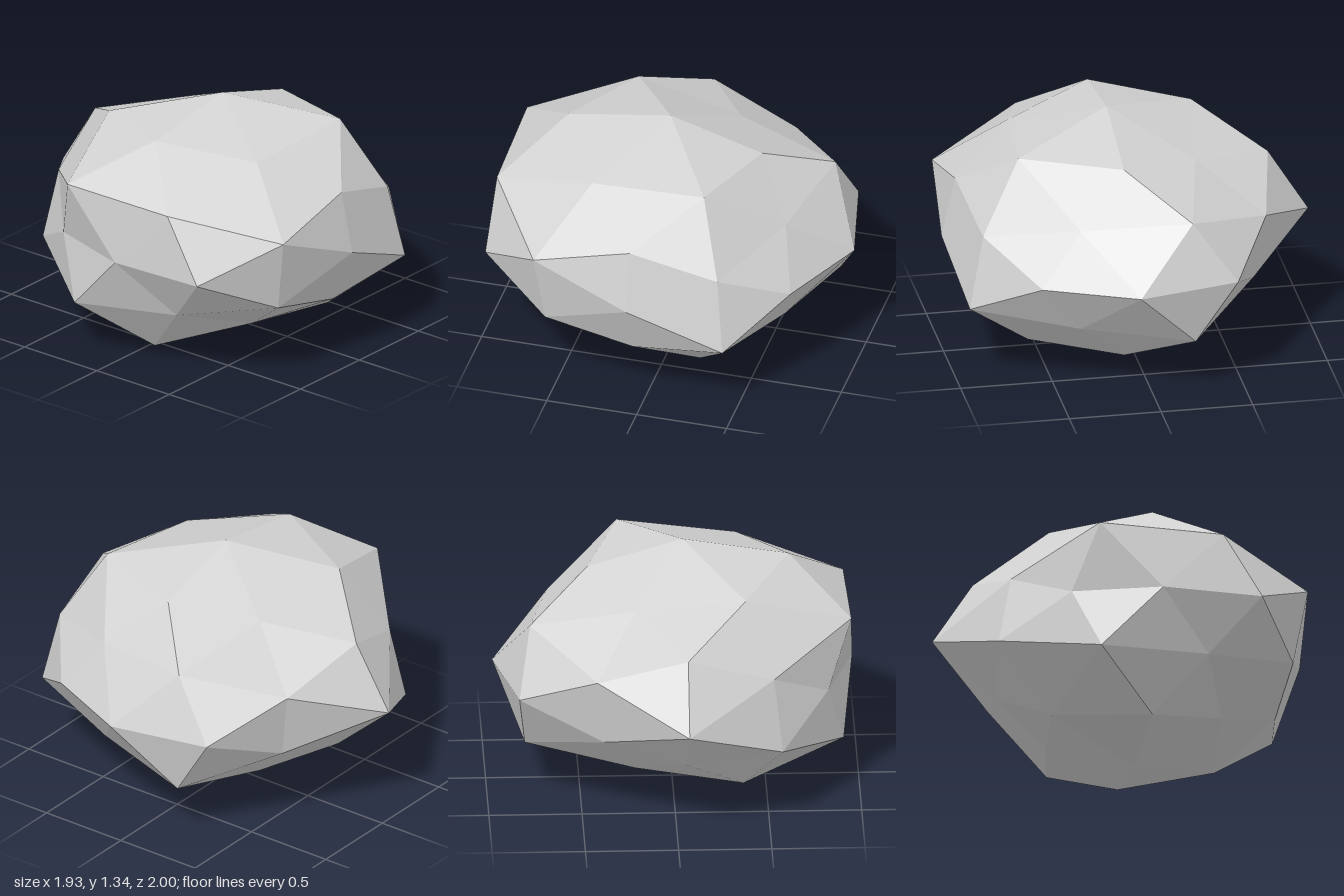
import * as THREE from 'three';

// Radius of every corner, grouped by direction family.
// Within a family the signs run + then - over x, y, z (z fastest).
const A = 0.5257, B = 0.8507;
const families = [
  [[1, 0, 0], [1.022, 0.91]],
  [[0, 1, 0], [1.06, 1.0]],
  [[0, 0, 1], [0.9, 1.1]],
  [[A, B, 0], [0.97, 0.988, 1.08, 1.085]],
  [[0, A, B], [0.97, 1.034, 0.9, 0.89]],
  [[B, 0, A], [0.945, 1.05, 1.035, 0.9]],
  [[0.309, 0.809, 0.5], [1.085, 0.87, 0.97, 0.87, 0.975, 1.04, 0.86, 1.0]],
  [[0.5, 0.309, 0.809], [0.94, 0.965, 1.04, 0.89, 1.055, 0.93, 0.965, 1.02]],
  [[0.809, 0.5, 0.309], [0.885, 1.025, 0.88, 1.06, 1.08, 1.105, 0.9, 1.055]],
];

function cornerList() {
  const corners = [];
  const signs = (c) => (c === 0 ? [0] : [1, -1]);
  for (const [[x, y, z], radii] of families) {
    let i = 0;
    for (const sx of signs(x)) for (const sy of signs(y)) for (const sz of signs(z)) {
      corners.push({ dir: new THREE.Vector3(x * sx, y * sy, z * sz), radius: radii[i++] });
    }
  }
  return corners;
}

export function createModel() {
  const group = new THREE.Group();
  group.name = 'rock';

  const stone = new THREE.MeshStandardMaterial({ color: 0xd2d2d2, flatShading: true });
  stone.name = 'stone grey';

  // Faceted ball whose corners are pushed in or out, then flattened
  const geometry = new THREE.IcosahedronGeometry(1, 1);
  const corners = cornerList();
  const pos = geometry.attributes.position;
  const v = new THREE.Vector3();
  for (let i = 0; i < pos.count; i++) {
    v.fromBufferAttribute(pos, i);
    const corner = corners.find((c) => c.dir.dot(v) > 0.98);
    v.multiplyScalar(corner.radius);
    pos.setXYZ(i, v.x - 0.06, v.y * 0.65 + 0.65, v.z + 0.1);
  }
  geometry.computeVertexNormals();

  const boulder = new THREE.Mesh(geometry, stone);
  boulder.name = 'boulder';
  group.add(boulder);
  return group;
}
